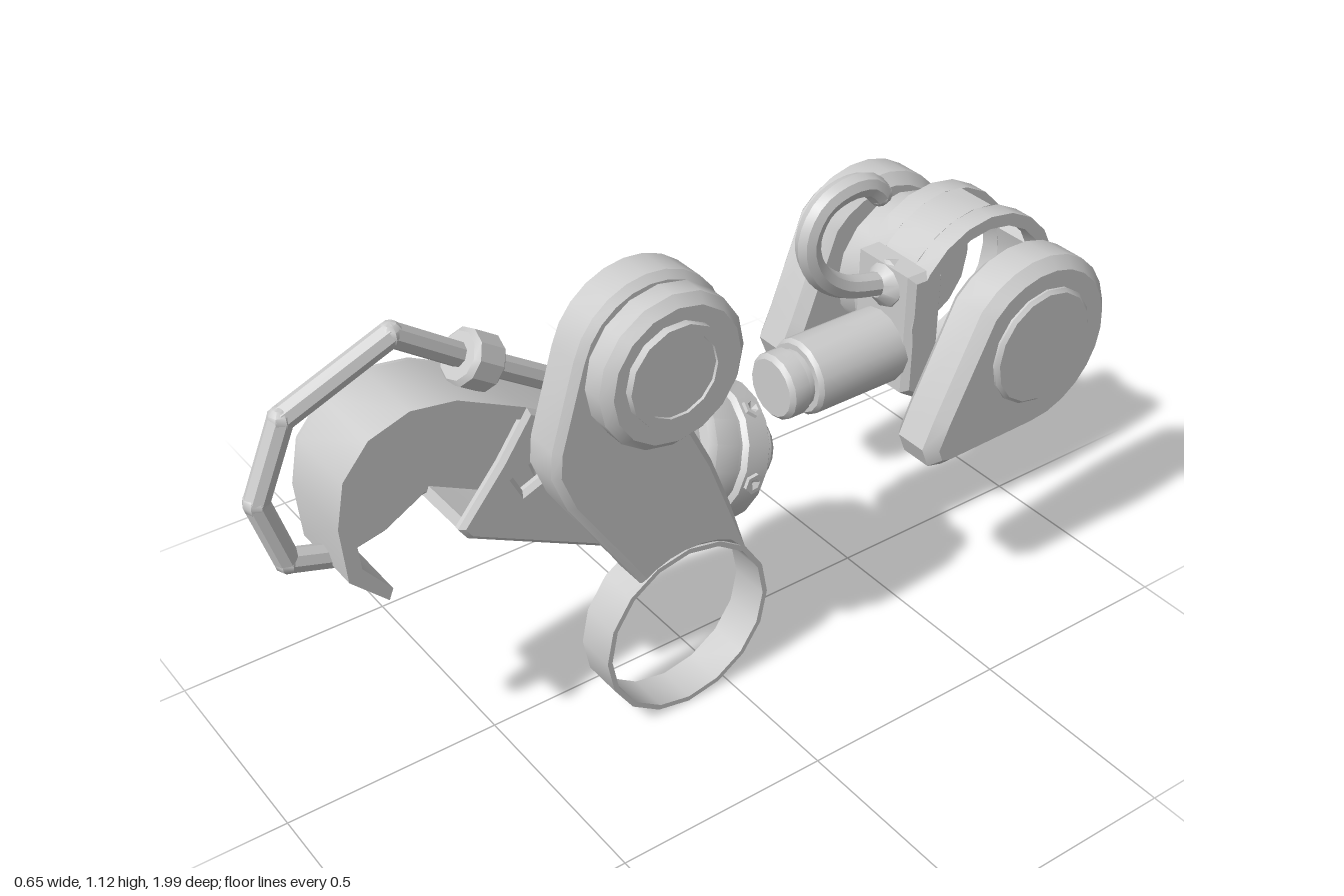
import * as THREE from 'three';
import { toCreasedNormals } from 'three/addons/utils/BufferGeometryUtils.js';

const material = new THREE.MeshStandardMaterial({ color: 0xcccccc, side: THREE.DoubleSide });

function mesh(name, geometry, parent) {
  const m = new THREE.Mesh(toCreasedNormals(geometry, 0.6), material);
  m.name = name;
  parent.add(m);
  return m;
}

// Points of an arc in the side plane, as [z, y]; angle 0 points to the rear, 90 up
function arc(z, y, r, from, to, n = 16) {
  return Array.from({ length: n + 1 }, (_, i) => {
    const a = THREE.MathUtils.degToRad(from + (to - from) * i / n);
    return [z - r * Math.cos(a), y + r * Math.sin(a)];
  });
}
const toVec = (pts) => pts.map(([z, y]) => new THREE.Vector2(-z, y));

// Side profile in [z, y], extruded from x0 to x1 with optional bevel and holes
function slab(name, pts, x0, x1, parent, bevel = 0, holes = []) {
  const shape = new THREE.Shape(toVec(pts));
  holes.forEach((h) => shape.holes.push(new THREE.Path(toVec(h))));
  const g = new THREE.ExtrudeGeometry(shape, {
    depth: x1 - x0 - 2 * bevel, bevelEnabled: bevel > 0, bevelThickness: bevel,
    bevelSize: bevel, bevelOffset: -bevel, bevelSegments: 1,
  });
  g.translate(0, 0, x0 + bevel);
  g.rotateY(Math.PI / 2);
  return mesh(name, g, parent);
}
const disc = (name, z, y, r, x0, x1, parent, bevel = 0) =>
  slab(name, arc(z, y, r, 0, 337.5, 15), x0, x1, parent, bevel);
const band = (z, y, r, ri, from, to, n = 20) =>
  [...arc(z, y, r, from, to, n), ...arc(z, y, ri, to, from, n)];

// Turned part: profile of [radius, distance] along dir from origin
function turned(name, profile, origin, dir, parent, sides = 16) {
  const g = new THREE.LatheGeometry(profile.map(([r, t]) => new THREE.Vector2(r, t)), sides);
  const m = mesh(name, g, parent);
  m.position.set(...origin);
  m.quaternion.setFromUnitVectors(new THREE.Vector3(0, 1, 0), new THREE.Vector3(...dir).normalize());
  return m;
}

function rearUnit() {
  const g = new THREE.Group();
  g.name = 'rearJoint';
  // Teardrop side covers with round caps
  for (const s of [-1, 1]) {
    const z = s > 0 ? -0.745 : -0.72;
    const name = s > 0 ? 'leftCover' : 'rightCover';
    const outline = [...arc(z, 0.67, 0.215, -90, 140, 16),
      [-0.47, 0.58], [-0.44, 0.51], [-0.46, 0.46], [-0.5, 0.45]];
    const span = (a, b) => (s > 0 ? [a, b] : [-b, -a]);
    slab(name, outline, ...span(0.185, 0.312), g, 0.025);
    disc(name + 'Cap', z, 0.68, 0.14, ...span(0.3, 0.325), g, 0.008);
  }
  disc('connectingDrum', -0.755, 0.665, 0.175, -0.2, -0.1, g, 0.02);
  // Hollow housing with a window in its upper rear
  const [z, y, r, ri] = [-0.785, 0.67, 0.215, 0.185];
  slab('housingRimRight', band(z, y, r, ri, 0, 360), -0.11, -0.06, g);
  slab('housingRimLeft', band(z, y, r, ri, 0, 360), 0.04, 0.09, g);
  slab('housingShell', band(z, y, r, ri, 78, 382), -0.06, 0.04, g);
  // Stub shaft and its mount
  slab('shaftMount', [[-0.56, 0.8], [-0.56, 0.5], [-0.62, 0.46], [-0.66, 0.48], [-0.66, 0.8]],
    -0.1, 0.09, g, 0.015);
  turned('stubShaft', [[0, 0], [0.09, 0], [0.09, 0.29], [0.082, 0.3], [0.068, 0.3], [0.068, 0.315],
    [0.078, 0.32], [0.078, 0.36], [0.068, 0.37], [0, 0.37]], [-0.005, 0.59, -0.62], [0, 0, 1], g);
  // Curled hook
  const path = [[-0.64, 0.74], [-0.53, 0.76], [-0.43, 0.79], [-0.36, 0.85], [-0.335, 0.93],
    [-0.37, 1.0], [-0.44, 1.025], [-0.5, 1.015], [-0.53, 0.985]]
    .map(([pz, py]) => new THREE.Vector3(0, py, pz));
  mesh('hook', new THREE.TubeGeometry(new THREE.CatmullRomCurve3(path), 28, 0.028, 8), g);
  const tip = mesh('hookTip', new THREE.SphereGeometry(0.028, 8, 6), g);
  tip.position.copy(path[path.length - 1]);
  turned('hookBase', [[0.055, 0], [0.055, 0.06], [0.03, 0.09]], [0, 0.74, -0.62], [0, 0.2, 1], g, 10);
  return g;
}

function finger() {
  const g = new THREE.Group();
  g.name = 'finger';
  // Rim over the back and around the tip
  const outer = [[0.05, 0.61], [0.2, 0.72], [0.43, 0.86], [0.58, 0.935], [0.68, 0.95], [0.77, 0.92],
    [0.83, 0.85], [0.85, 0.75], [0.84, 0.62], [0.76, 0.54]];
  const inner = [[0.05, 0.58], [0.2, 0.69], [0.43, 0.83], [0.58, 0.905], [0.68, 0.92], [0.75, 0.895],
    [0.805, 0.835], [0.82, 0.75], [0.81, 0.64], [0.75, 0.565]];
  slab('fingerBack', [...outer, ...inner.reverse()], -0.09, 0.09, g);
  // Full side wall with a slot, and a shorter opposite wall with a window
  const lower = [[0.67, 0.56], [0.58, 0.61], [0.27, 0.45], [0.08, 0.4], [0.02, 0.5]];
  const slot = [[0.2, 0.5], [0.31, 0.55], [0.32, 0.58], [0.3, 0.585], [0.19, 0.535], [0.18, 0.51]];
  slab('fingerRightWall', [...outer, ...lower], -0.107, -0.075, g, 0.012, [slot]);
  slab('fingerLeftWall', [[0.05, 0.61], [0.2, 0.72], [0.43, 0.86], [0.5, 0.76], [0.6, 0.64],
    ...lower.slice(1)], 0.07, 0.1, g, 0.01, [[[0.42, 0.74], [0.47, 0.71], [0.45, 0.67], [0.4, 0.69]]]);
  slab('fingerFloor', [[0.58, 0.61], [0.27, 0.45], [0.08, 0.4], [0.08, 0.43], [0.27, 0.48], [0.57, 0.635]],
    -0.09, 0.08, g);
  // Bent rod frame running over the back to the tip
  const rod = [[0.08, 0.68], [0.48, 0.94], [0.66, 1.065], [0.895, 0.97], [0.965, 0.81], [0.92, 0.655],
    [0.81, 0.62]].map(([z, y]) => new THREE.Vector3(0, y, z));
  rod.slice(1).forEach((b, i) => {
    const a = rod[i];
    const d = b.clone().sub(a);
    turned('rodSegment', [[0.026, 0], [0.026, d.length()]], a.toArray(), d.toArray(), g, 8);
    mesh('rodElbow', new THREE.SphereGeometry(0.027, 8, 6), g).position.copy(b);
  });
  // Collars on the rod
  const collar = (r, h) => [[0, -h], [r - 0.01, -h], [r, 0.01 - h], [r, h - 0.01], [r - 0.01, h], [0, h]];
  turned('rodCollar', collar(0.06, 0.04), [0, 0.945, 0.49], [0, 0.55, 0.83], g, 10);
  turned('rodSocket', collar(0.055, 0.05), [0, 0.74, 0.17], [0, 0.55, 0.83], g, 10);
  turned('rodSleeve', collar(0.045, 0.08), [0, 0.66, 0.06], [0, 0.55, 0.83], g, 10);
  return g;
}

function wrist() {
  const g = new THREE.Group();
  g.name = 'wrist';
  // Stepped swivel with a groove and end cap
  turned('swivel', [[0, -0.14], [0.12, -0.14], [0.125, -0.08], [0.15, -0.08], [0.16, -0.065], [0.16, 0],
    [0.148, 0.008], [0.148, 0.018], [0.16, 0.026], [0.16, 0.085], [0.14, 0.105], [0.085, 0.105],
    [0.085, 0.165], [0.07, 0.185], [0, 0.185]], [0, 0, 0], [0, 1, 0], g, 18);
  for (let i = 0; i < 6; i++) {
    const a = i * Math.PI / 3;
    turned('wristBolt', [[0.024, 0], [0.024, 0.014], [0.014, 0.014], [0, 0.004]],
      [0.152 * Math.cos(a), 0.055, 0.152 * Math.sin(a)], [Math.cos(a), 0, Math.sin(a)], g, 6);
  }
  g.position.set(0, 0.525, -0.025);
  g.quaternion.setFromUnitVectors(new THREE.Vector3(0, 1, 0), new THREE.Vector3(0, -0.39, -0.92).normalize());
  return g;
}

function sideArm() {
  const g = new THREE.Group();
  g.name = 'sideArm';
  // Link plate, recessed behind the upper pivot and cut to meet the strap
  const outline = [...arc(0.2, 0.94, 0.18, -40, 165, 14), [0.43, 0.8], [0.435, 0.74], [0.4, 0.65],
    [0.25, 0.42], ...arc(0.11, 0.215, 0.205, 125, 40, 8), [0, 0.5], [0.05, 0.63], [0.11, 0.75]];
  slab('linkPlate', outline, 0.085, 0.19, g, 0.015, [arc(0.2, 0.94, 0.125, 0, 337.5, 15)]);
  disc('pivotBacking', 0.2, 0.94, 0.14, 0.15, 0.18, g);
  // Pivot cover
  disc('pivotCover', 0.2, 0.94, 0.17, 0.185, 0.272, g, 0.02);
  slab('pivotRing', band(0.21, 0.95, 0.112, 0.09, 0, 360, 14), 0.26, 0.29, g);
  disc('pivotCap', 0.21, 0.95, 0.092, 0.26, 0.283, g);
  // Thin strap loop at the lower end
  slab('strapLoop', band(0.11, 0.215, 0.212, 0.2, 0, 360, 16), 0.09, 0.185, g);
  return g;
}

export function createModel() {
  const model = new THREE.Group();
  model.name = 'mechanicalArm';
  model.add(rearUnit(), finger(), wrist(), sideArm());
  return model;
}
